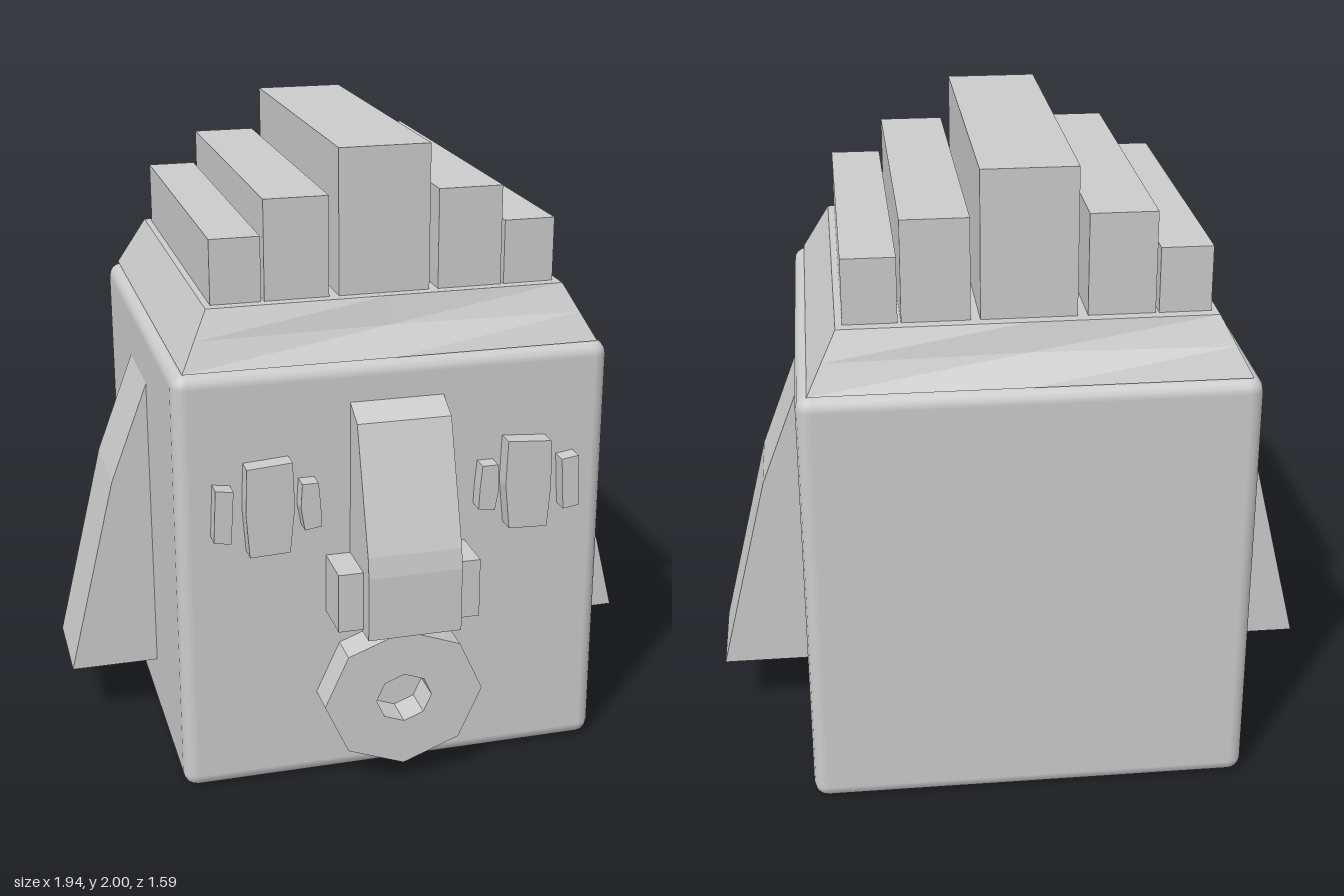
import * as THREE from 'three';
import { RoundedBoxGeometry } from 'three/addons/geometries/RoundedBoxGeometry.js';

const smooth = new THREE.MeshStandardMaterial({ color: 0xcccccc });
const flat = new THREE.MeshStandardMaterial({ color: 0xcccccc, flatShading: true });

// Outline in x-y, extruded from z0 to z1
function prism(points, z0, z1, hole) {
  const toVectors = (list) => list.map(([x, y]) => new THREE.Vector2(x, y));
  const shape = new THREE.Shape(toVectors(points));
  if (hole) shape.holes.push(new THREE.Path(toVectors(hole)));
  return new THREE.ExtrudeGeometry(shape, { depth: z1 - z0, bevelEnabled: false }).translate(0, 0, z0);
}

function boxBetween(x0, x1, y0, y1, z0, z1) {
  return new THREE.BoxGeometry(x1 - x0, y1 - y0, z1 - z0)
    .translate((x0 + x1) / 2, (y0 + y1) / 2, (z0 + z1) / 2);
}

function octagon(rx, ry, cy) {
  return Array.from({ length: 8 }, (_, i) => {
    const a = (i * Math.PI) / 4;
    return [rx * Math.cos(a), cy + ry * Math.sin(a)];
  });
}

export function createModel() {
  const group = new THREE.Group();
  const add = (name, geometry, material = flat) => {
    const mesh = new THREE.Mesh(geometry, material);
    mesh.name = name;
    group.add(mesh);
  };

  // Block head with softened edges
  add('head', new RoundedBoxGeometry(1.37, 1.38, 1.37, 2, 0.045).translate(0, 0.69, -0.105), smooth);

  // Sloping cap, slightly dented at the middle of its front and back
  const cap = new THREE.BoxGeometry(1.3, 0.17, 1.33, 2, 2, 1).translate(0, 1.465, 0);
  const p = cap.attributes.position;
  for (let i = 0; i < p.count; i++) {
    const t = (p.getY(i) - 1.38) / 0.17;
    const dent = Math.abs(p.getX(i)) < 0.01 && Math.abs(t - 0.5) < 0.1 ? 0.02 : 0;
    p.setX(i, p.getX(i) * (1 - 0.138 * t));
    p.setZ(i, Math.sign(p.getZ(i)) * (0.665 - 0.085 * t - dent) - 0.105);
  }
  add('cap', cap);

  // Stepped crest slabs
  [
    [-0.54, -0.385, 1.75], [-0.375, -0.175, 1.86], [-0.145, 0.14, 2],
    [0.168, 0.37, 1.86], [0.38, 0.54, 1.75],
  ].forEach(([x0, x1, top], i) => add(`crestSlab${i + 1}`, boxBetween(x0, x1, 1.54, top, -0.65, 0.44)));

  // Nose: side profile (z, y) extruded across x
  const nose = prism([
    [0.57, 0.565], [0.795, 0.565], [0.795, 0.77], [0.785, 0.835], [0.66, 1.215], [0.575, 1.26],
  ], -0.147, 0.147).rotateY(-Math.PI / 2);
  add('nose', nose);

  // Octagonal ring mouth
  add('mouth', prism(octagon(0.257, 0.233, 0.295), 0.57, 0.69, octagon(0.09, 0.082, 0.295)));

  // Ears, nostrils and three-piece eyes on both sides
  for (const [side, s] of [['left', 1], ['right', -1]]) {
    const mirrored = (pts) => pts.map(([x, y]) => [s * x, y]);
    add(`${side}Ear`, prism(mirrored([
      [0.67, 0.2], [0.97, 0.2], [0.81, 0.86], [0.685, 1.19], [0.67, 1.19],
    ]), -0.265, 0.055));
    add(`${side}Nostril`, prism(mirrored([
      [0.13, 0.575], [0.225, 0.575], [0.225, 0.765], [0.13, 0.765],
    ]), 0.57, 0.735));
    add(`${side}Eye`, prism(mirrored([
      [0.35, 0.815], [0.475, 0.81], [0.485, 0.95], [0.48, 1.095], [0.34, 1.105], [0.335, 0.96],
    ]), 0.57, 0.64));
    add(`${side}EyeOuterCorner`, prism(mirrored([
      [0.53, 0.86], [0.583, 0.868], [0.575, 1.035], [0.52, 1.027],
    ]), 0.57, 0.635));
    add(`${side}EyeInnerCorner`, prism(mirrored([
      [0.25, 0.888], [0.303, 0.88], [0.315, 0.95], [0.31, 1.03], [0.26, 1.03], [0.253, 0.955],
    ]), 0.57, 0.635));
  }
  return group;
}
